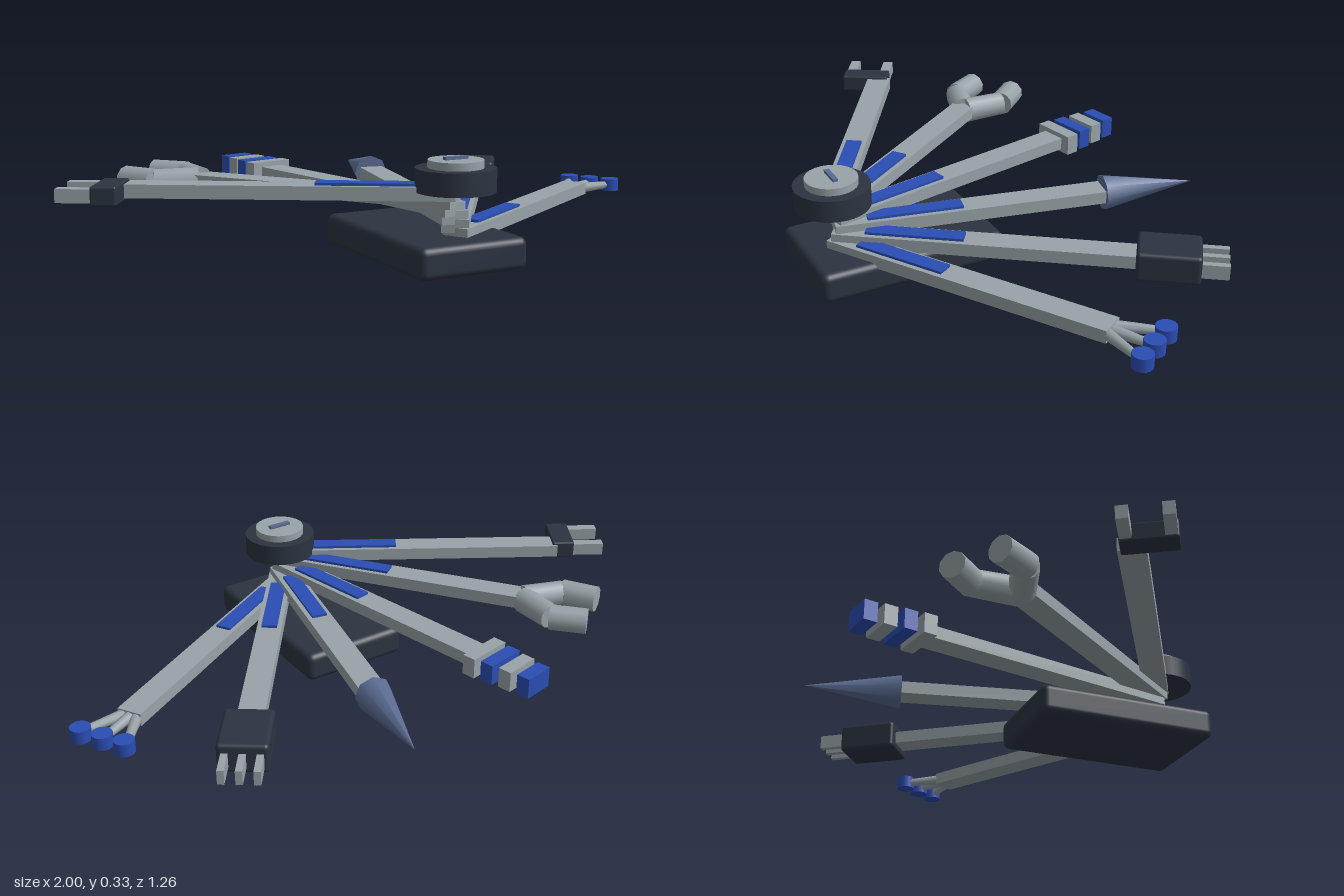
import * as THREE from 'three';
import { RoundedBoxGeometry } from 'three/addons/geometries/RoundedBoxGeometry.js';

const material = (name, color) => {
  const m = new THREE.MeshStandardMaterial({ color });
  m.name = name;
  return m;
};

export function createModel() {
  const grey = material('light grey', 0x98a3a8);
  const dark = material('dark slate', 0x2c3441);
  const blue = material('blue', 0x2a4db3);
  const steel = material('steel blue', 0x5a6c92);

  const model = new THREE.Group();
  model.name = 'foldingTool';

  function add(parent, name, geometry, mat, x = 0, y = 0, z = 0) {
    const mesh = new THREE.Mesh(geometry, mat);
    mesh.name = name;
    mesh.position.set(x, y, z);
    parent.add(mesh);
    return mesh;
  }
  const box = (w, h, d) => new THREE.BoxGeometry(w, h, d);
  const rounded = (w, h, d, r) => new RoundedBoxGeometry(w, h, d, 3, r);

  // Rod between two points, with its own radius at each end
  function rod(parent, name, mat, a, b, ra, rb, sides) {
    const from = new THREE.Vector3(...a), to = new THREE.Vector3(...b);
    const dir = to.clone().sub(from);
    const mesh = add(parent, name, new THREE.CylinderGeometry(rb, ra, dir.length(), sides), mat);
    mesh.position.copy(from).add(to).multiplyScalar(0.5);
    mesh.quaternion.setFromUnitVectors(new THREE.Vector3(0, 1, 0), dir.normalize());
  }

  // Handle block
  add(model, 'handle', rounded(0.355, 0.095, 0.595, 0.022), dark, 0.018, 0.0475, 0.323);

  // Pivot knob with its slotted cap
  const px = 0.013, pz = 0.513;
  add(model, 'knob', new THREE.CylinderGeometry(0.117, 0.117, 0.068, 32), dark, px, 0.261, pz);
  add(model, 'knobCap', new THREE.CylinderGeometry(0.081, 0.081, 0.024, 24), grey, px, 0.306, pz);
  add(model, 'knobSlot', box(0.075, 0.009, 0.016), steel, px, 0.3225, pz);

  // Tool heads: each is built in its arm's frame, pointing along -z
  const heads = [
    function threeTips(g) {
      for (const s of [-1, 0, 1]) {
        rod(g, 'tine', grey, [s * 0.018, 0, -0.92], [s * 0.075 + 0.005, 0, -1.05], 0.018, 0.012, 8);
        add(g, 'tip', new THREE.CylinderGeometry(0.031, 0.031, 0.041, 16), blue, s * 0.075 + 0.006, 0, -1.06);
      }
    },
    function plug(g) {
      add(g, 'plugBody', rounded(0.147, 0.092, 0.19, 0.012), dark, 0, 0.003, -1.005);
      for (const s of [-1, 0, 1]) add(g, 'plugPin', box(0.02, 0.045, 0.1), grey, s * 0.05, 0, -1.13);
    },
    function spike(g) {
      const cone = new THREE.ConeGeometry(0.058, 0.307, 8);
      cone.rotateX(-Math.PI / 2);
      add(g, 'spike', cone, steel, 0, 0, -1.0135);
    },
    function taperedBlocks(g) {
      for (let i = 0; i < 4; i++) {
        add(g, 'block', box(0.146 - i * 0.016, 0.065, 0.044), i % 2 ? blue : grey, 0, 0.003, -0.916 - i * 0.062);
      }
    },
    function claw(g) {
      for (const s of [-1, 1]) {
        rod(g, 'fingerBase', grey, [s * 0.005, 0, -0.865], [s * 0.088, 0, -0.975], 0.043, 0.04, 10);
        rod(g, 'fingerEnd', grey, [s * 0.09, 0, -0.972], [s * 0.078, 0, -1.09], 0.042, 0.042, 10);
      }
    },
    function fork(g) {
      add(g, 'clampBar', rounded(0.162, 0.056, 0.075, 0.006), dark, -0.05, 0, -0.982);
      for (const x of [0.012, -0.11]) add(g, 'prong', box(0.034, 0.04, 0.13), grey, x, 0, -1.055);
    },
  ];

  // Fanned arms, stacked from the bottom up
  const angles = [58.6, 35.8, 12, -12, -36.2, -58.6];
  const lengths = [0.935, 0.93, 0.865, 0.91, 0.88, 0.96];
  heads.forEach((head, i) => {
    const arm = new THREE.Group();
    arm.name = head.name + 'Arm';
    arm.position.set(px, 0.1 + i * 0.0245, pz);
    arm.rotation.y = -angles[i] * Math.PI / 180;
    add(arm, 'armBar', box(0.08, 0.04, lengths[i]), grey, 0, 0, -lengths[i] / 2);
    add(arm, 'armStripe', box(0.05, 0.009, 0.3), blue, 0, 0.0235, -0.25);
    head(arm);
    // The claw sits a little above its bar
    if (i === 4) arm.children.slice(2).forEach((m) => { m.position.y = -0.003; });
    model.add(arm);
  });

  return model;
}
